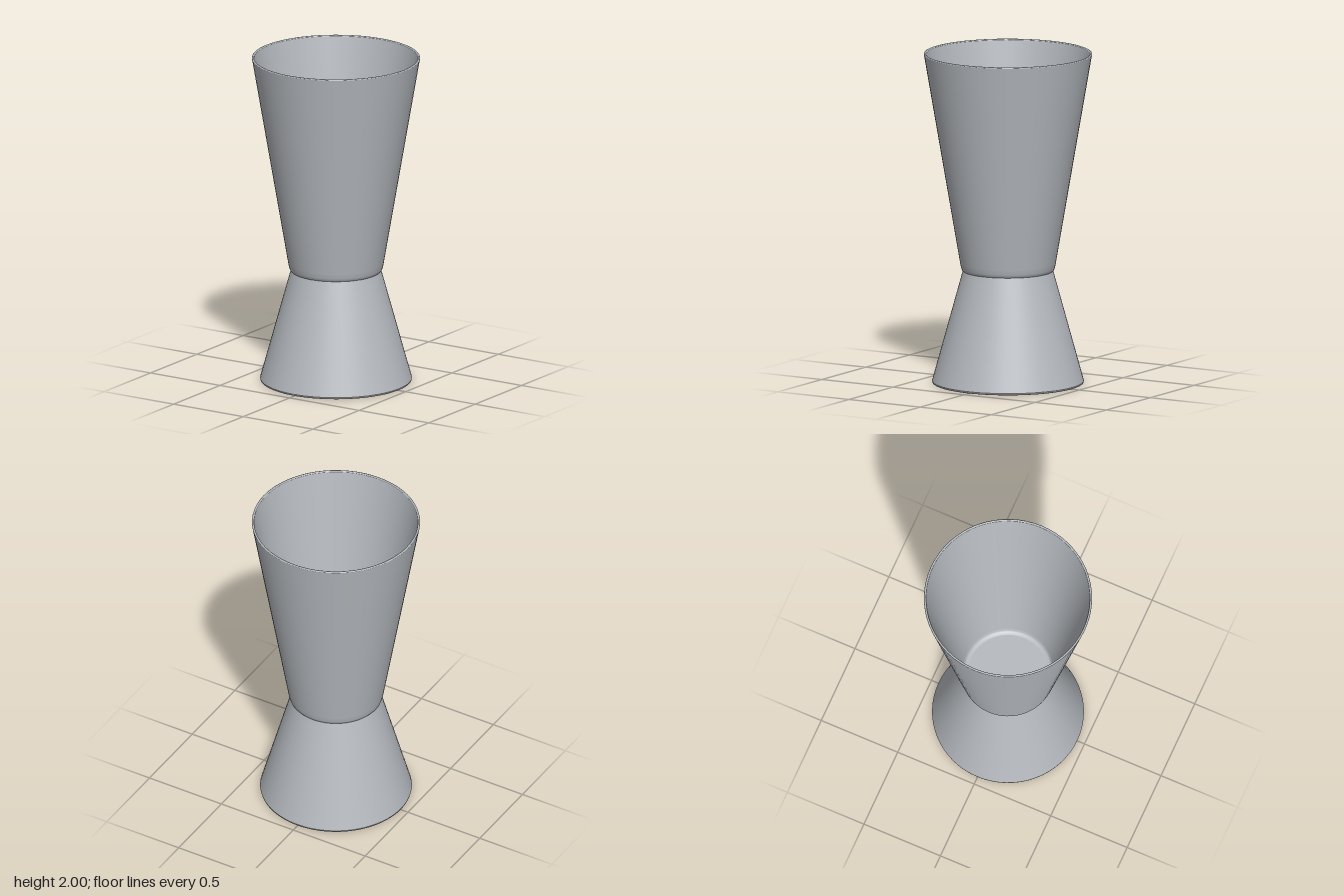
import * as THREE from 'three';

const SIDES = 64;

export function createModel() {
  const model = new THREE.Group();
  model.name = 'doubleMeasuringCup';
  const steel = new THREE.MeshStandardMaterial({ color: 0xb6babf });
  steel.name = 'brushed steel';

  // One smooth band of revolution; separate bands keep the edges between them sharp
  const band = (group, name, points) => {
    const profile = points.map(([r, y]) => new THREE.Vector2(r, y));
    const mesh = new THREE.Mesh(new THREE.LatheGeometry(profile, SIDES), steel);
    mesh.name = name;
    group.add(mesh);
  };

  // Small inverted cup, open at the bottom
  const lower = new THREE.Group();
  lower.name = 'lowerCup';
  band(lower, 'lowerCeiling', [[0, 0.67], [0.255, 0.67]]);
  band(lower, 'lowerInnerWall', [[0.255, 0.67], [0.438, 0.01]]);
  band(lower, 'lowerRim', [[0.438, 0.01], [0.441, 0.003], [0.446, 0], [0.452, 0.003], [0.454, 0.012]]);
  band(lower, 'lowerOuterWall', [[0.454, 0.012], [0.27, 0.68]]);

  // Tall cup, open at the top, with a rounded base corner
  const upper = new THREE.Group();
  upper.name = 'upperCup';
  band(upper, 'neck', [[0.27, 0.68], [0.276, 0.687], [0.281, 0.7], [0.286, 0.725]]);
  band(upper, 'upperOuterWall', [[0.286, 0.725], [0.503, 1.993]]);
  band(upper, 'upperRim', [[0.503, 1.993], [0.502, 1.998], [0.497, 2], [0.492, 1.998], [0.49, 1.993]]);
  band(upper, 'upperInnerWall', [[0.49, 1.993], [0.27, 0.72]]);
  band(upper, 'upperFloorCorner', [[0.27, 0.72], [0.265, 0.702], [0.258, 0.694], [0.24, 0.69]]);
  band(upper, 'upperFloor', [[0.24, 0.69], [0, 0.69]]);

  model.add(lower, upper);
  return model;
}
